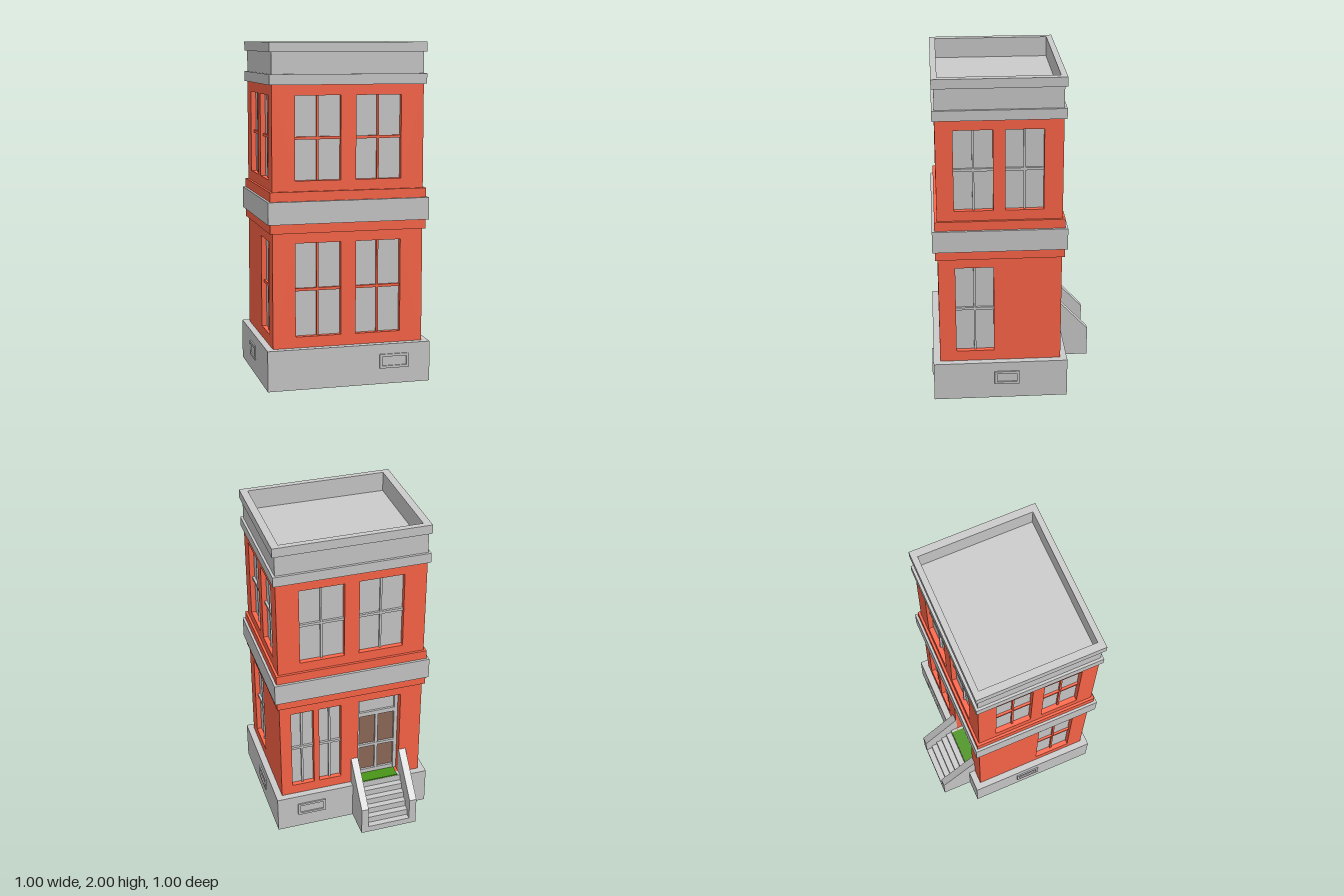
import * as THREE from 'three';

const mat = (color) => new THREE.MeshStandardMaterial({ color });
const GREY = mat(0xcccccc), RED = mat(0xff6648), BROWN = mat(0x8f6b5a), GREEN = mat(0x4a9418);

// Half sizes of the brick body and its centre in z
const HX = 0.45, HZ = 0.3625, CZ = 0.0875, WALL = 0.06;

// Box given by its minimum and maximum corners
function box(parent, name, material, [x0, y0, z0], [x1, y1, z1]) {
  const mesh = new THREE.Mesh(new THREE.BoxGeometry(x1 - x0, y1 - y0, z1 - z0), material);
  mesh.position.set((x0 + x1) / 2, (y0 + y1) / 2, (z0 + z1) / 2);
  mesh.name = name;
  parent.add(mesh);
  return mesh;
}

function rect(Type, x0, y0, x1, y1) {
  return new Type([[x0, y0], [x1, y0], [x1, y1], [x0, y1]].map(p => new THREE.Vector2(...p)));
}

function extrude(parent, name, material, shape, depth) {
  const mesh = new THREE.Mesh(new THREE.ExtrudeGeometry(shape, { depth, bevelEnabled: false }), material);
  mesh.name = name;
  parent.add(mesh);
  return mesh;
}

// Solid course around the building, standing out from the body
function course(parent, name, material, y0, y1, out) {
  box(parent, name, material, [-HX - out, y0, CZ - HZ - out], [HX + out, y1, CZ + HZ + out]);
}

// Open parapet ring around the sunken roof
function parapetRing(parent, name, y0, y1, out) {
  const shape = rect(THREE.Shape, -HX - out, -HZ - out, HX + out, HZ + out);
  shape.holes.push(rect(THREE.Path, -0.42, -0.3425, 0.42, 0.3425));
  const ring = extrude(parent, name, GREY, shape, y1 - y0);
  ring.rotation.x = -Math.PI / 2;
  ring.position.set(0, y0, CZ);
}

// Recessed pane with a cross of glazing bars; z = 0 is the outer wall face
function fillWindow(parent, [x0, y0, x1, y1], barMaterial) {
  const g = new THREE.Group(), b = 0.006;
  const cx = (x0 + x1) / 2, cy = (y0 + y1) / 2;
  g.name = 'window';
  box(g, 'pane', GREY, [x0, y0, -0.045], [x1, y1, -0.03]);
  box(g, 'uprightBar', barMaterial, [cx - b, y0, -0.035], [cx + b, y1, -0.018]);
  box(g, 'crossBar', barMaterial, [x0, cy - b - 0.002, -0.035], [x1, cy + b + 0.002, -0.016]);
  parent.add(g);
}

// Vent frame on the plinth, its middle sunk
function vent(parent, x0, x1, z) {
  const shape = rect(THREE.Shape, x0, 0.095, x1, 0.18);
  shape.holes.push(rect(THREE.Path, x0 + 0.015, 0.11, x1 - 0.015, 0.165));
  extrude(parent, 'ventFrame', GREY, shape, 0.012).position.z = z - 0.004;
}

// One face of the house in local space: x to the viewer's right, z outward
function facade(parent, name, halfWidth, windows, bars, vents, door) {
  const g = new THREE.Group();
  g.name = name;
  const shape = rect(THREE.Shape, -halfWidth, 0.24, halfWidth, 1.76);
  for (const r of door ? [...windows, door] : windows) shape.holes.push(rect(THREE.Path, ...r));
  extrude(g, 'brickWall', RED, shape, WALL).position.z = -WALL;
  windows.forEach(r => fillWindow(g, r, bars));
  vents.forEach(([x0, x1]) => vent(g, x0, x1, 0.04));
  parent.add(g);
  return g;
}

// Panelled door with a transom light, set deep in its opening
function addDoor(parent, [x0, y0, x1, y1]) {
  const g = new THREE.Group(), cx = (x0 + x1) / 2;
  g.name = 'door';
  box(g, 'doorLeaf', BROWN, [x0, y0, -0.075], [x1, 0.7, -0.06]);
  box(g, 'transomPane', GREY, [x0, 0.7, -0.075], [x1, y1, -0.06]);
  for (const x of [x0, x1 - 0.022]) box(g, 'doorPost', GREY, [x, y0, -0.065], [x + 0.022, y1, -0.045]);
  for (const [y, h] of [[y0, 0.03], [0.46, 0.02], [0.7, 0.03], [y1 - 0.022, 0.022]])
    box(g, 'doorRail', GREY, [x0 + 0.02, y, -0.065], [x1 - 0.02, y + h, -0.047]);
  box(g, 'centreStile', GREY, [cx - 0.009, y0, -0.065], [cx + 0.009, 0.7, -0.049]);
  parent.add(g);
}

export function createModel() {
  const model = new THREE.Group();
  model.name = 'townhouse';

  // Plinth, middle courses and parapet
  course(model, 'plinth', GREY, 0, 0.24, 0.04);
  course(model, 'lowerBrickCourse', RED, 0.915, 0.97, 0.015);
  course(model, 'stoneBand', GREY, 0.97, 1.1, 0.03);
  course(model, 'upperBrickCourse', RED, 1.1, 1.155, 0.015);
  parapetRing(model, 'corniceLower', 1.76, 1.82, 0.015);
  parapetRing(model, 'parapet', 1.82, 1.945, 0);
  parapetRing(model, 'corniceTop', 1.945, 2, 0.015);
  box(model, 'roof', GREY, [-0.43, 1.75, CZ - 0.35], [0.43, 1.88, CZ + 0.35]);

  // Window openings: [x0, y0, x1, y1]
  const upper = (a, b) => [a, 1.215, b, 1.7];
  const lower = (a, b) => [a, 0.305, b, 0.855];
  const pair = (f) => [f(-0.315, -0.045), f(0.045, 0.315)];

  // Front and back
  const front = facade(model, 'frontFacade', HX, [...pair(upper), ...pair(lower)], RED, [[0.18, 0.36]]);
  front.position.z = CZ + HZ;
  const doorway = [0.045, 0.25, 0.315, 0.855];
  const back = facade(model, 'backFacade', HX,
    [...pair(upper), lower(-0.38, -0.24), lower(-0.205, -0.065)], GREY, [[-0.36, -0.18]], doorway);
  addDoor(back, doorway);
  back.rotation.y = Math.PI;
  back.position.z = CZ - HZ;

  // Sides, mirrored: s = 1 is the model's left
  for (const s of [1, -1]) {
    const span = (z0, z1) => [-s * (z0 - CZ), -s * (z1 - CZ)].sort((a, b) => a - b);
    const side = facade(model, s > 0 ? 'leftFacade' : 'rightFacade', HZ - WALL,
      [upper(...span(0.125, 0.35)), upper(...span(-0.165, 0.055)), lower(...span(0.125, 0.35))],
      s > 0 ? GREY : RED, [span(-0.025, 0.125)]);
    side.rotation.y = s * Math.PI / 2;
    side.position.set(s * HX, 0, CZ);
  }

  // Entrance steps between two sloping cheek walls
  const stairs = new THREE.Group();
  stairs.name = 'entranceStairs';
  for (let i = 0; i < 6; i++)
    box(stairs, i < 5 ? 'step' : 'landing', GREY,
      [-0.315, 0, -0.5 + i * 0.037], [-0.045, 0.25 * (i + 1) / 6, i < 5 ? -0.29 : -0.21]);
  const cheek = new THREE.Shape([[0.27, 0], [0.5, 0], [0.5, 0.185], [0.275, 0.425], [0.27, 0.425]]
    .map(p => new THREE.Vector2(...p)));
  for (const x of [-0.36, -0.045]) {
    const wall = extrude(stairs, 'cheekWall', GREY, cheek, 0.045);
    wall.rotation.y = Math.PI / 2;
    wall.position.x = x;
  }
  box(stairs, 'doorMat', GREEN, [-0.297, 0.248, -0.314], [-0.063, 0.258, -0.235]);
  model.add(stairs);

  return model;
}
